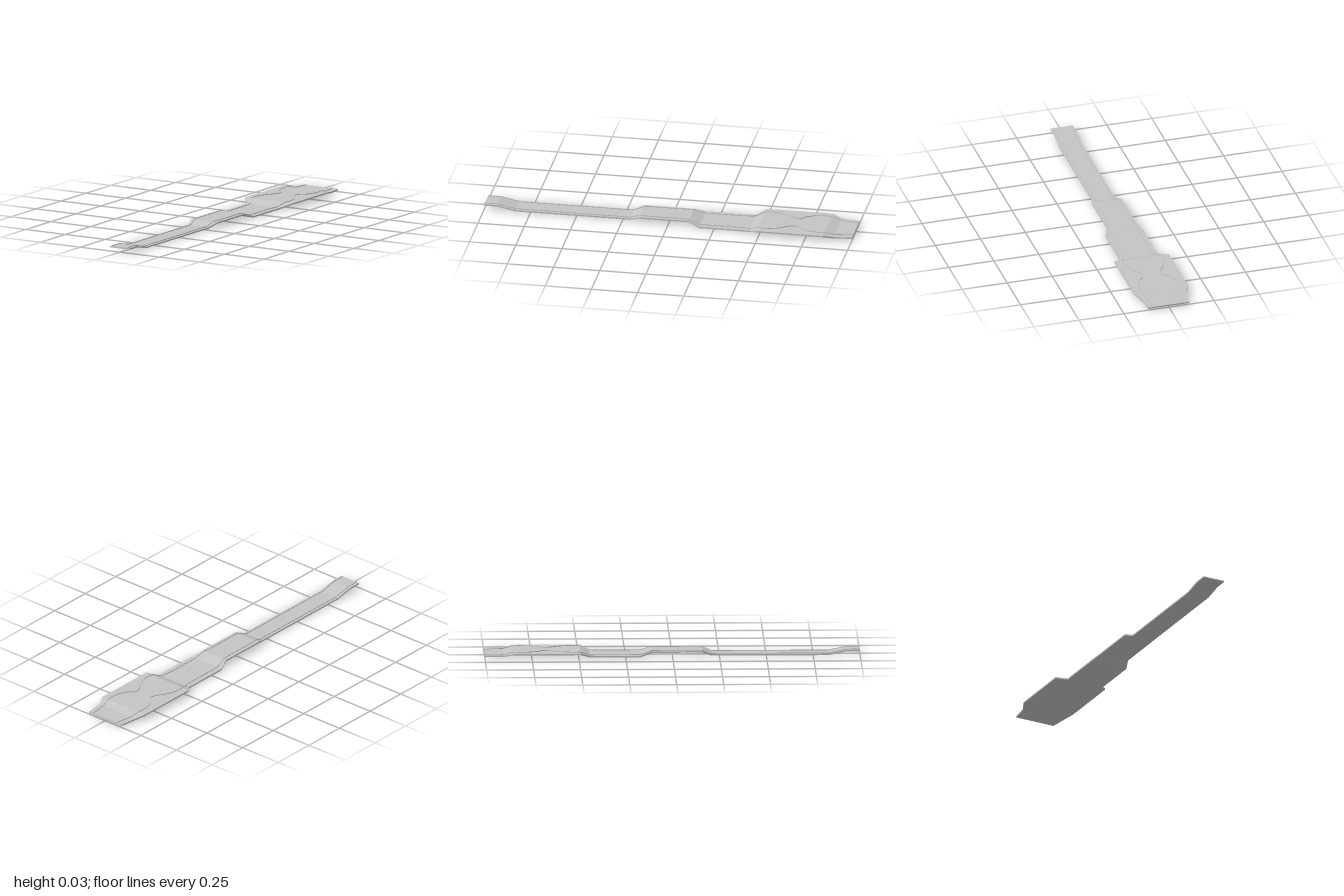
import * as THREE from 'three';

const THICK = 0.008;
// stations along the strip: z, half width, underside height
const STATIONS = [
  [-1, 0.113, 0.007], [-0.9, 0.126, 0.007], [-0.85, 0.15, 0.02], [-0.49, 0.15, 0.02],
  [-0.44, 0.105, 0], [-0.17, 0.105, 0], [-0.11, 0.083, 0.02], [0.16, 0.083, 0.02],
  [0.21, 0.062, 0], [0.83, 0.062, 0], [0.93, 0.062, 0.02], [1, 0.062, 0.02],
];
// inlaid rib outline: x, z
const RIB = [
  [0.083, -1], [0.088, -0.95], [0.1, -0.88], [0.11, -0.81], [0.1, -0.76], [0.08, -0.72],
  [0.053, -0.695], [0.055, -0.66], [0.085, -0.61], [0.106, -0.56], [0.108, -0.5],
  [0.085, -0.44], [0.078, -0.38], [0.075, -0.16], [0.064, -0.08], [0.062, 0.14],
  [0.05, 0.21], [0.048, 0.5], [0.048, 1],
];

function undersideAt(z) {
  for (let i = 1; i < STATIONS.length; i++) {
    const [z0, , y0] = STATIONS[i - 1], [z1, , y1] = STATIONS[i];
    if (z <= z1) return y0 + (y1 - y0) * (z - z0) / (z1 - z0);
  }
  return STATIONS[STATIONS.length - 1][2];
}

function geometryFromQuads(quads) {
  const pos = [];
  for (const [a, b, c, d] of quads) pos.push(...a, ...b, ...c, ...a, ...c, ...d);
  const g = new THREE.BufferGeometry();
  g.setAttribute('position', new THREE.Float32BufferAttribute(pos, 3));
  g.computeVertexNormals();
  return g;
}

// stepped flat strip, lofted through rectangular sections
function plateGeometry() {
  const rings = STATIONS.map(([z, w, y]) => [
    [w, y + THICK, z], [-w, y + THICK, z], [-w, y, z], [w, y, z],
  ]);
  const quads = [];
  for (let i = 0; i < rings.length - 1; i++) {
    for (let k = 0; k < 4; k++) {
      const n = (k + 1) % 4;
      quads.push([rings[i][k], rings[i][n], rings[i + 1][n], rings[i + 1][k]]);
    }
  }
  quads.push([...rings[0]].reverse(), rings[rings.length - 1]);
  return geometryFromQuads(quads);
}

// thin upright rib that follows the strip's height
function ribGeometry(side) {
  const curve = new THREE.CatmullRomCurve3(
    RIB.map(([x, z]) => new THREE.Vector3(x, 0, z)), false, 'centripetal');
  const pts = curve.getSpacedPoints(200);
  const quads = [];
  for (let i = 0; i < pts.length - 1; i++) {
    const a = pts[i], b = pts[i + 1];
    const ya = undersideAt(a.z), yb = undersideAt(b.z);
    quads.push([
      [side * a.x, ya, a.z], [side * a.x, ya + 0.012, a.z],
      [side * b.x, yb + 0.012, b.z], [side * b.x, yb, b.z],
    ]);
  }
  return geometryFromQuads(quads);
}

export function createModel() {
  const group = new THREE.Group();
  group.name = 'steppedStrip';
  const grey = new THREE.MeshStandardMaterial({ color: 0xc4c4c4, side: THREE.DoubleSide });
  grey.name = 'lightGrey';

  const add = (geometry, name) => {
    const mesh = new THREE.Mesh(geometry, grey);
    mesh.name = name;
    group.add(mesh);
  };
  add(plateGeometry(), 'plate');
  add(ribGeometry(1), 'leftRib');
  add(ribGeometry(-1), 'rightRib');
  return group;
}
